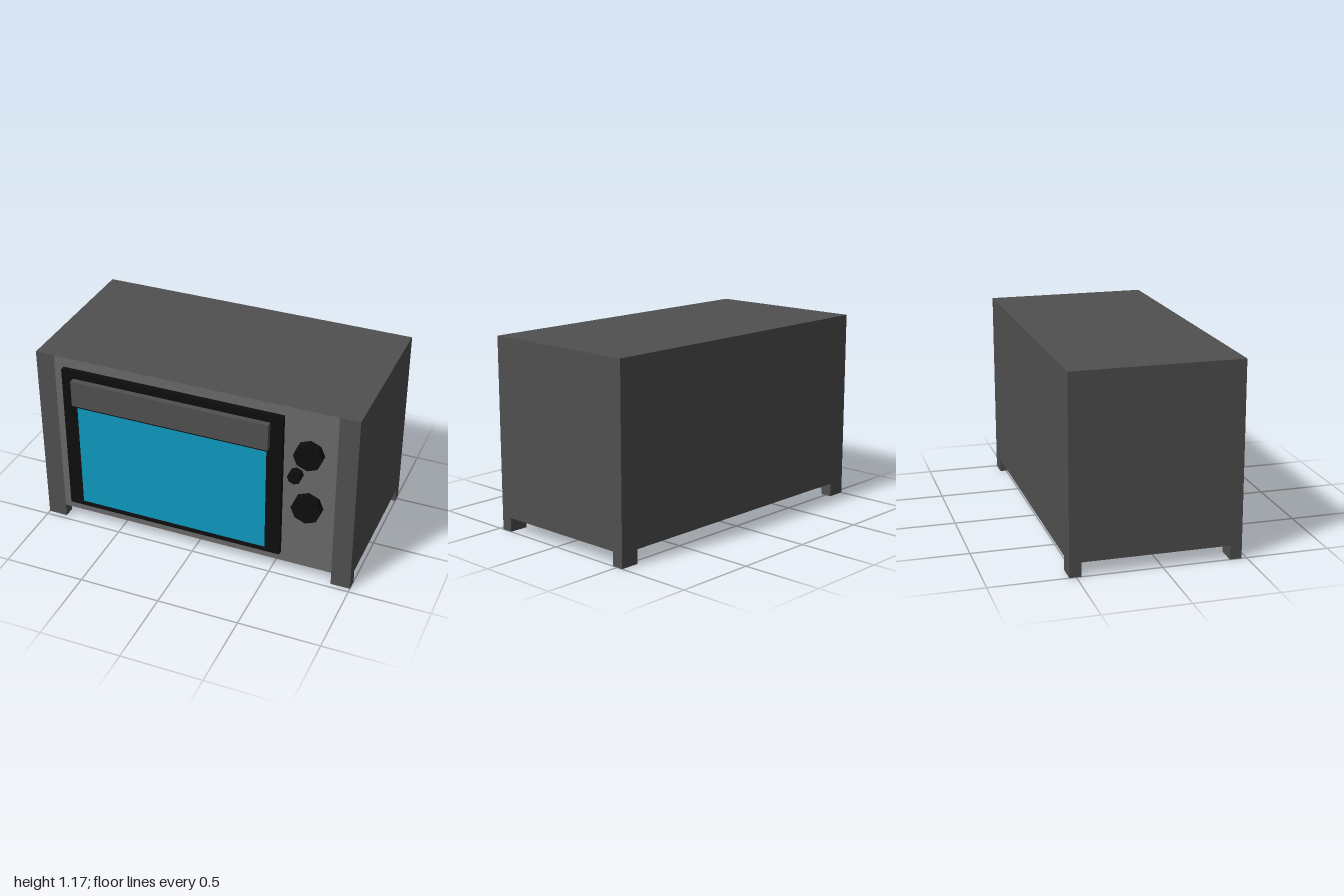
import * as THREE from 'three';

const mat = (color) => new THREE.MeshStandardMaterial({ color, flatShading: true });

// Box given by its min and max corners
function box(name, [x0, y0, z0], [x1, y1, z1], material) {
  const mesh = new THREE.Mesh(new THREE.BoxGeometry(x1 - x0, y1 - y0, z1 - z0), material);
  mesh.position.set((x0 + x1) / 2, (y0 + y1) / 2, (z0 + z1) / 2);
  mesh.name = name;
  return mesh;
}

// Flat rectangle facing +z
function sheet(name, x0, y0, x1, y1, z, material) {
  const mesh = new THREE.Mesh(new THREE.PlaneGeometry(x1 - x0, y1 - y0), material);
  mesh.position.set((x0 + x1) / 2, (y0 + y1) / 2, z);
  mesh.name = name;
  return mesh;
}

export function createModel() {
  const oven = new THREE.Group();
  oven.name = 'oven';

  const casing = mat(0x505050);
  const panel = mat(0x6a6a6a);
  const black = mat(0x0e0e0e);
  const glass = mat(0x0e9ac2);

  const back = -0.54, front = 0.47, base = 0.085, top = 1.17;

  // Casing and lighter front panel
  oven.add(box('casing', [-1, base, back], [1, top, front], casing));
  oven.add(sheet('frontPanel', -0.88, base, 0.88, top, front + 0.001, panel));

  // Four corner feet
  const footW = 0.12, footD = 0.07;
  for (const x of [-1, 1 - footW]) {
    for (const z of [back, front - footD]) {
      oven.add(box('foot', [x, 0, z], [x + footW, base, z + footD], casing));
    }
  }

  // Door with window and handle
  const door = new THREE.Group();
  door.name = 'door';
  const doorZ = 0.505;
  door.add(box('doorFrame', [-0.818, 0.15, front], [0.564, 1.108, doorZ], black));
  door.add(sheet('window', -0.727, 0.182, 0.471, 0.863, doorZ + 0.001, glass));
  door.add(box('handle', [-0.743, 0.895, doorZ], [0.491, 1.062, 0.541], casing));
  oven.add(door);

  // Eight-sided control knobs
  const knobDepth = 0.052;
  for (const [x, y, r] of [[0.721, 0.892, 0.087], [0.645, 0.736, 0.042], [0.722, 0.53, 0.091]]) {
    const geometry = new THREE.CylinderGeometry(r, r, knobDepth, 8).rotateX(Math.PI / 2);
    const knob = new THREE.Mesh(geometry, black);
    knob.position.set(x, y, front + knobDepth / 2);
    knob.name = 'knob';
    oven.add(knob);
  }

  return oven;
}
